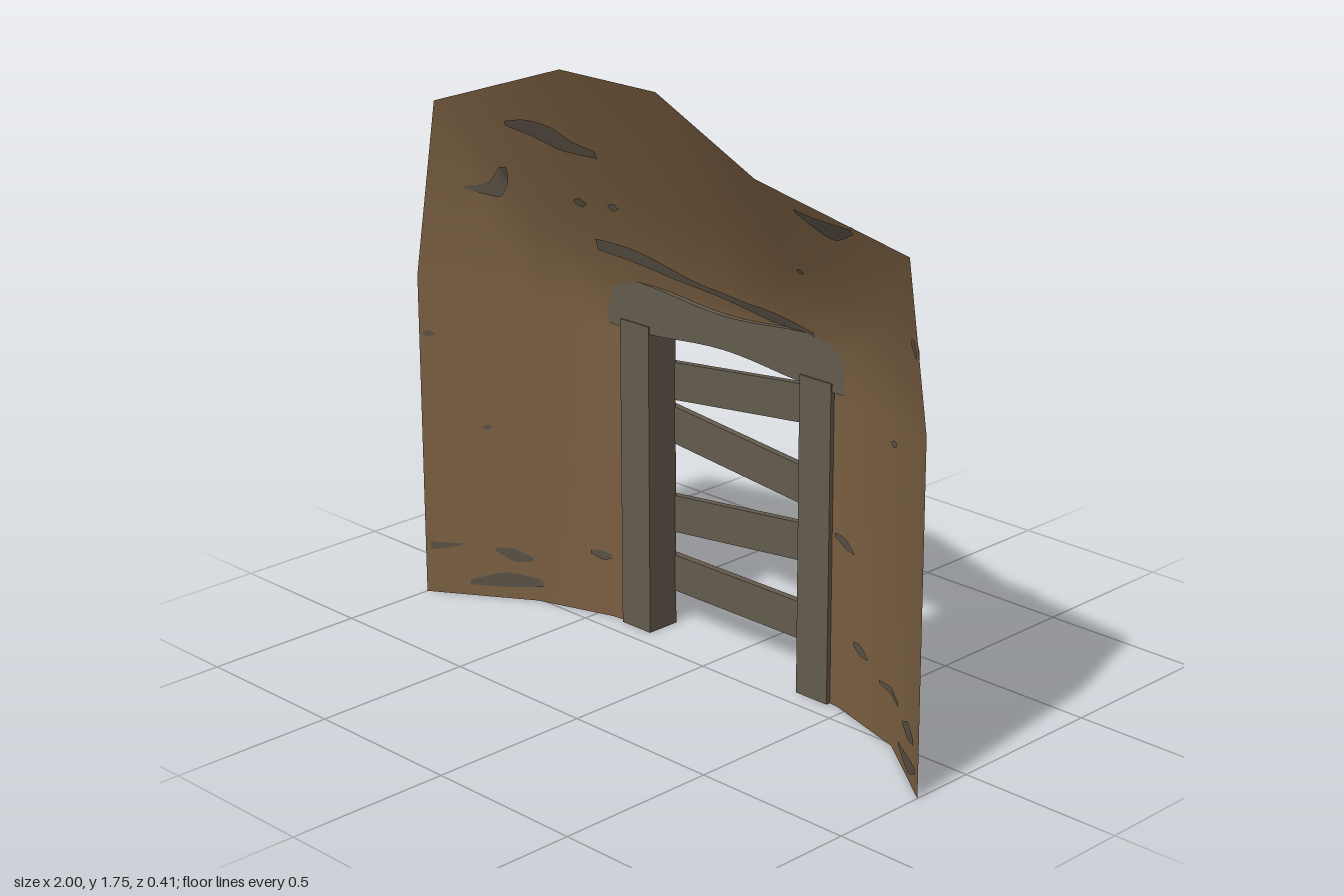
import * as THREE from 'three';

const material = (name, color) => Object.assign(new THREE.MeshStandardMaterial({ color, side: THREE.DoubleSide }), { name });

// Smooth surface through rows of points, all rows having the same length
function sheet(rows) {
  const n = rows[0].length, index = [];
  for (let i = 0; i < rows.length - 1; i++)
    for (let j = 0; j < n - 1; j++) {
      const a = i * n + j, b = a + n;
      index.push(a, a + 1, b, a + 1, b + 1, b);
    }
  const g = new THREE.BufferGeometry();
  g.setAttribute('position', new THREE.Float32BufferAttribute(rows.flat(2), 3));
  g.setIndex(index);
  g.computeVertexNormals();
  return g;
}

export function createModel() {
  const earth = material('earth brown', 0x7a5f41);
  const wood = material('weathered wood', 0x645b4d);
  const stone = material('grey stone', 0x5a5145);
  const model = new THREE.Group();
  const add = (name, geometry, mat, parent = model) => {
    const mesh = new THREE.Mesh(geometry, mat);
    mesh.name = name;
    parent.add(mesh);
    return mesh;
  };

  // Hillside shell: arches from the open rim inwards to the doorway
  const arch = (z, pts) => pts.map(([x, y, dz = 0]) => [x, y, z + dz]);
  const hill = add('hillside', sheet([
    arch(0.2, [[-1, 0], [-1, 1.02], [-0.9, 1.57], [-0.36, 1.75], [0.02, 1.75], [0.39, 1.58], [0.93, 1.48], [1, 1.02], [1, 0]]),
    arch(0.01, [[-0.7, 0], [-0.7, 0.95], [-0.64, 1.22], [-0.29, 1.35], [0.03, 1.35], [0.34, 1.29], [0.68, 1.2], [0.74, 0.95], [0.74, 0]]),
    arch(-0.07, [[-0.45, 0], [-0.45, 0.92], [-0.42, 1.04], [-0.22, 1.08, -0.01], [0.02, 1.085, -0.015], [0.26, 1.08, -0.01], [0.45, 1.04], [0.47, 0.92], [0.47, 0]]),
    arch(-0.08, [[-0.34, 0], [-0.34, 0.9], [-0.34, 1.01], [-0.18, 1.01], [0.02, 1.01], [0.22, 1.01], [0.38, 1.01], [0.38, 0.9], [0.38, 0]]),
  ]), earth);

  // Door posts, open underneath
  for (const [name, x] of [['rightPost', -0.34], ['leftPost', 0.375]]) {
    const g = new THREE.BoxGeometry(0.118, 0.96, 0.11);
    const idx = Array.from(g.index.array);
    idx.splice(18, 6);
    g.setIndex(idx);
    g.clearGroups();
    add(name, g, wood).position.set(x, 0.48, -0.115);
  }

  // Lintel, worn thinner towards the middle
  const lintel = new THREE.BoxGeometry(0.94, 0.15, 0.14, 16, 1, 1);
  const p = lintel.attributes.position;
  for (let i = 0; i < p.count; i++) {
    const t = Math.min(1, Math.abs(p.getX(i)) / 0.36);
    const wear = 0.5 + 0.5 * Math.cos(Math.PI * t);
    p.setY(i, p.getY(i) * (1 - 0.33 * wear));
    if (p.getZ(i) < 0) p.setZ(i, p.getZ(i) + 0.018 * wear);
  }
  lintel.computeVertexNormals();
  add('lintel', lintel, wood).position.set(0.02, 1.01, -0.135);

  // Slats nailed across the outside: heights at the two inner post edges
  const slats = new THREE.Group();
  slats.name = 'slats';
  model.add(slats);
  for (const [y0, y1] of [[0.77, 0.8375], [0.633, 0.573], [0.353, 0.418], [0.163, 0.163]]) {
    const slat = add('slat', new THREE.BoxGeometry(0.755, 0.115, 0.022), wood, slats);
    const slope = (y1 - y0) / 0.6;
    slat.position.set(0.033, y0 + slope * 0.313, -0.177);
    slat.rotation.z = Math.atan(slope);
  }

  // Stone patches: thin ribbons laid on both sides of the hillside [x, y, half width]
  const patches = [
    [[-0.645, 1.54, 0.008], [-0.56, 1.54, 0.025], [-0.47, 1.52, 0.035], [-0.41, 1.5, 0.02], [-0.34, 1.49, 0.012]],
    [[-0.845, 1.31, 0.004], [-0.78, 1.31, 0.02], [-0.745, 1.335, 0.042], [-0.71, 1.38, 0.01]],
    [[0.51, 1.515, 0.006], [0.57, 1.493, 0.02], [0.63, 1.483, 0.028], [0.73, 1.505, 0.008]],
    [[-0.45, 1.185, 0.018], [-0.33, 1.175, 0.022], [-0.2, 1.15, 0.018], [-0.08, 1.13, 0.01], [0.1, 1.11, 0.012], [0.2, 1.1, 0.018], [0.37, 1.085, 0.008]],
    [[-0.88, 0.045, 0.008], [-0.78, 0.062, 0.024], [-0.68, 0.06, 0.01]],
    [[-0.81, 0.16, 0.006], [-0.76, 0.145, 0.02], [-0.71, 0.135, 0.006]],
    [[-0.985, 0.155, 0.014], [-0.94, 0.16, 0.008], [-0.9, 0.168, 0.003]],
    [[-0.52, 0.2, 0.006], [-0.48, 0.195, 0.014], [-0.45, 0.195, 0.006]],
    [[0.45, 0.52, 0.006], [0.5, 0.51, 0.014], [0.545, 0.495, 0.004]],
    [[0.55, 0.23, 0.006], [0.58, 0.222, 0.016], [0.62, 0.21, 0.004]],
    [[0.68, 0.17, 0.004], [0.74, 0.168, 0.01], [0.81, 0.165, 0.006]],
    [[0.86, 0.14, 0.006], [0.91, 0.145, 0.024], [0.96, 0.14, 0.008]],
    [[0.82, 0.055, 0.006], [0.92, 0.05, 0.022], [0.985, 0.07, 0.008]],
    [[0.925, 1.25, 0.01], [0.945, 1.24, 0.02], [0.96, 1.225, 0.012]],
  ];
  for (const [x, y, r] of [[-0.47, 1.315, 0.015], [-0.35, 1.32, 0.012], [0.39, 1.29, 0.009], [0.73, 0.88, 0.01], [-0.825, 0.555, 0.008], [-0.975, 0.84, 0.01]])
    patches.push([[x - r * 1.6, y, 0.002], [x, y, r], [x + r * 1.6, y, 0.002]]);

  hill.updateMatrixWorld(true);
  const ray = new THREE.Raycaster();
  const onHill = (x, y, lift) => {
    ray.set(new THREE.Vector3(x, y, -5), new THREE.Vector3(0, 0, 1));
    const hit = ray.intersectObject(hill)[0];
    return hit ? hit.point.addScaledVector(hit.face.normal, lift).toArray() : [x, y, 0.2];
  };
  const stones = new THREE.Group();
  stones.name = 'stonePatches';
  model.add(stones);
  for (const points of patches) {
    const spine = new THREE.CatmullRomCurve3(points.map((q) => new THREE.Vector3(...q)));
    for (const lift of [0.004, -0.004]) {
      const rows = spine.getPoints(points.length * 5).map((q) =>
        [-1, 0, 1].map((s) => onHill(q.x, q.y + s * q.z, lift)));
      add('stonePatch', sheet(rows), stone, stones);
    }
  }
  return model;
}
